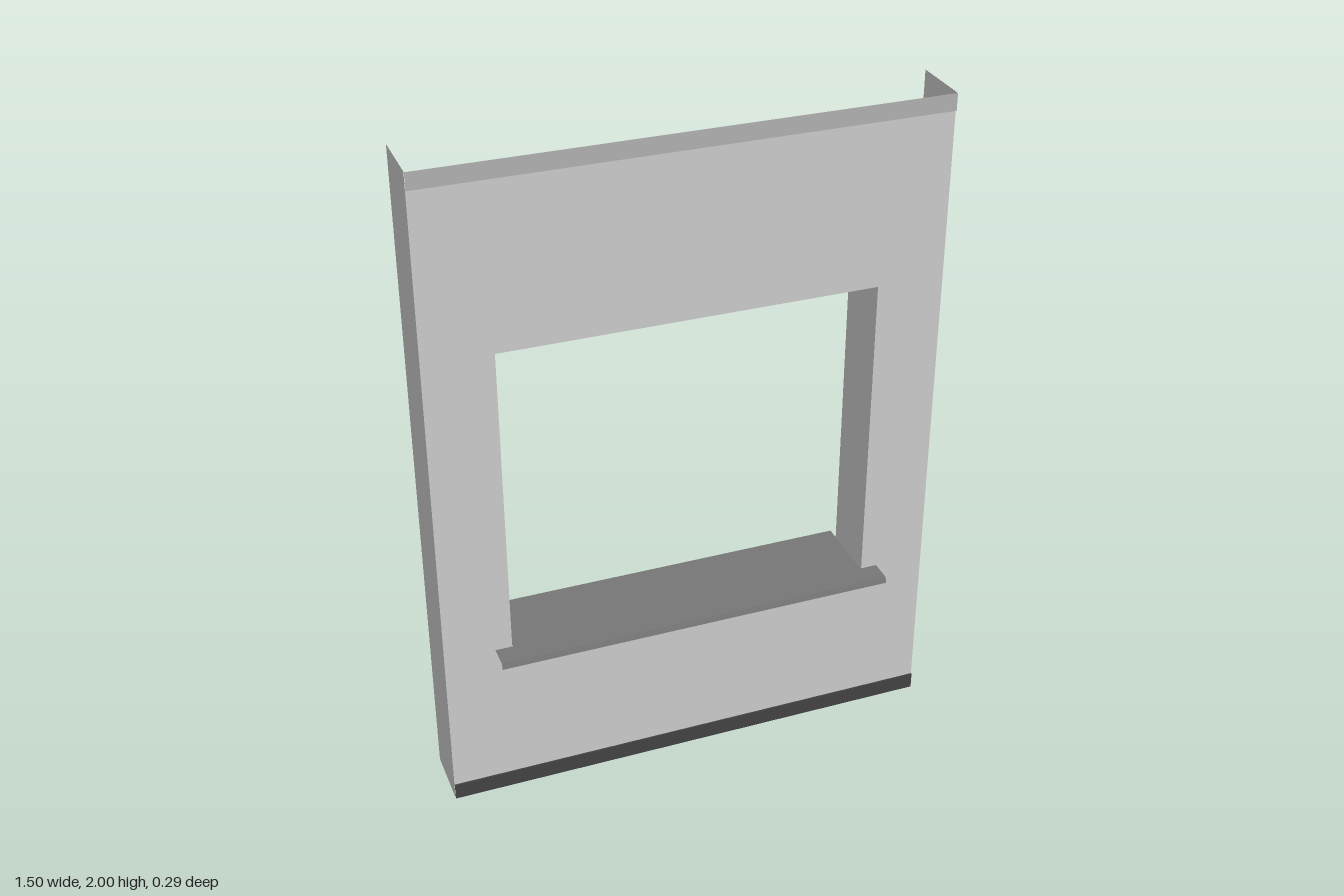
import * as THREE from 'three';

const mat = (color) => new THREE.MeshStandardMaterial({ color, side: THREE.DoubleSide });

// Sheet swept along x: profile is a list of [y, z] points, folds stay sharp
function foldedSheet(name, halfWidth, profile, material) {
  const pos = [];
  for (let i = 0; i < profile.length - 1; i++) {
    const [y0, z0] = profile[i], [y1, z1] = profile[i + 1];
    const a = [-halfWidth, y0, z0], b = [halfWidth, y0, z0];
    const c = [halfWidth, y1, z1], d = [-halfWidth, y1, z1];
    pos.push(...a, ...b, ...c, ...a, ...c, ...d);
  }
  const geo = new THREE.BufferGeometry();
  geo.setAttribute('position', new THREE.Float32BufferAttribute(pos, 3));
  geo.computeVertexNormals();
  const mesh = new THREE.Mesh(geo, material);
  mesh.name = name;
  return mesh;
}

// Upright sheet facing sideways
function sideSheet(name, x, y0, y1, z0, z1, material) {
  const geo = new THREE.PlaneGeometry(z1 - z0, y1 - y0);
  geo.rotateY(Math.sign(x) * Math.PI / 2);
  geo.translate(x, (y0 + y1) / 2, (z0 + z1) / 2);
  const mesh = new THREE.Mesh(geo, material);
  mesh.name = name;
  return mesh;
}

export function createModel() {
  const group = new THREE.Group();
  group.name = 'wallPanelWithWindowOpening';

  const wall = mat(0xcccccc);
  const sillMat = mat(0x777777);
  const topMat = mat(0xb1b1b1);
  const baseMat = mat(0x434343);

  const W = 0.75, H = 2, strip = 0.05;          // panel half width, height, edge strip height
  const front = 0.073, proud = 0.078, back = -0.112;
  const ow = 0.55, o0 = 0.503, o1 = 1.46;       // window opening

  // Wall face with the window opening
  const face = new THREE.Shape([
    new THREE.Vector2(-W, strip), new THREE.Vector2(W, strip),
    new THREE.Vector2(W, H - strip), new THREE.Vector2(-W, H - strip),
  ]);
  face.holes.push(new THREE.Path([
    new THREE.Vector2(-ow, o0), new THREE.Vector2(-ow, o1),
    new THREE.Vector2(ow, o1), new THREE.Vector2(ow, o0),
  ]));
  const panel = new THREE.Mesh(new THREE.ShapeGeometry(face), wall);
  panel.name = 'wallFace';
  panel.position.z = front;
  group.add(panel);

  // Strips along the top and bottom, standing slightly proud of the face
  group.add(foldedSheet('topStrip', W, [[H - strip, front], [H - strip, proud], [H, proud]], topMat));
  group.add(foldedSheet('baseStrip', W, [[0, proud], [strip, proud], [strip, front]], baseMat));

  // Side returns and window jambs, mirrored
  for (const [side, s] of [['left', 1], ['right', -1]]) {
    group.add(sideSheet(side + 'Return', s * W, 0, H, back, front, wall));
    group.add(sideSheet(side + 'Jamb', s * ow, o0, o1, back, front, wall));
  }

  // Head and bottom of the window reveal
  group.add(foldedSheet('windowHead', ow, [[o1, front], [o1, back]], wall));
  group.add(foldedSheet('revealBottom', ow, [[o0, front], [o0, back]], wall));

  // Sill: narrow part through the opening, wider nosing with a turned-down lip
  const sy = 0.508;
  group.add(foldedSheet('sillInner', 0.548, [[sy, front], [sy, -0.147]], sillMat));
  group.add(foldedSheet('sillNosing', 0.6, [[0.49, 0.145], [sy, 0.14], [sy, front]], sillMat));

  return group;
}
